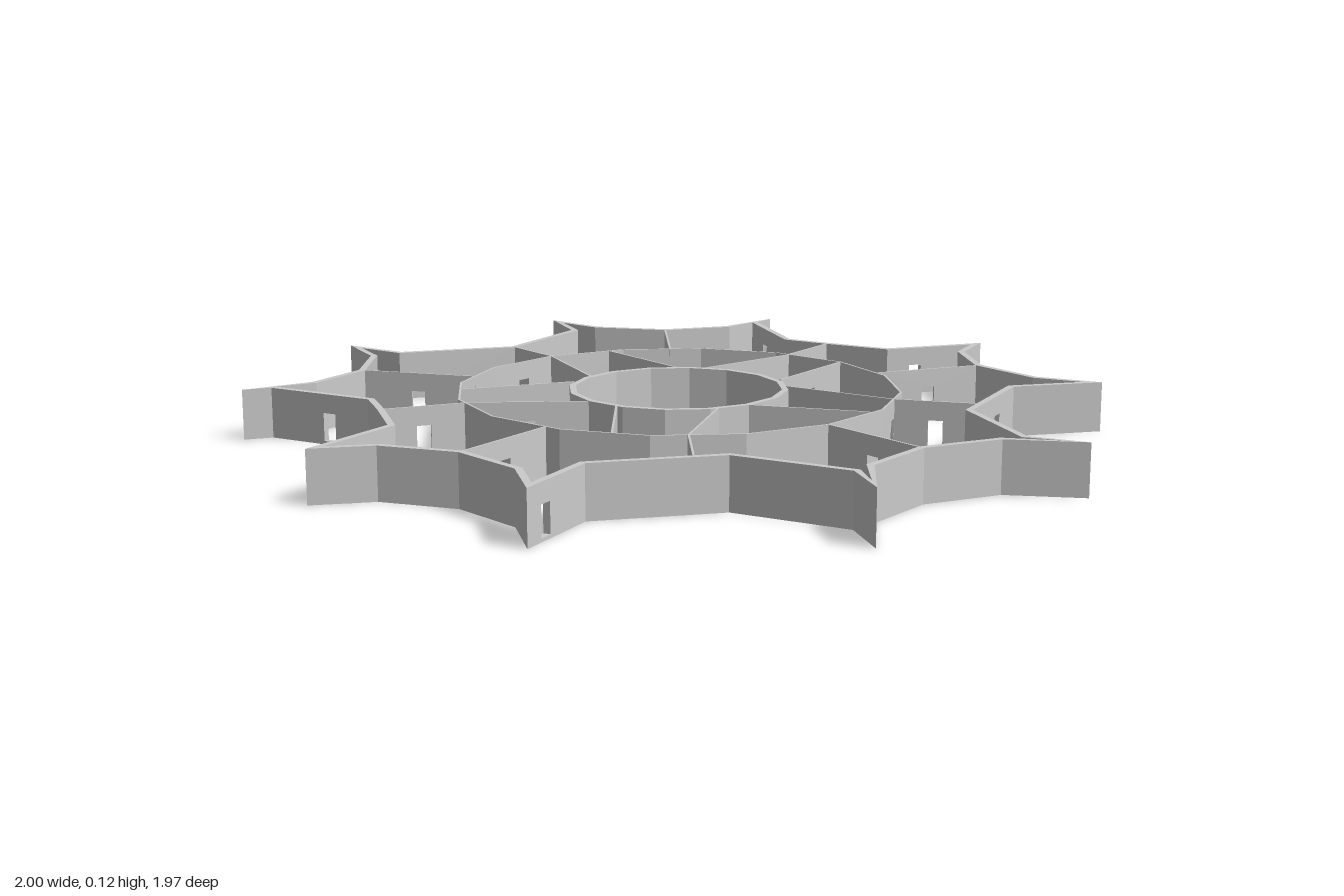
import * as THREE from 'three';

const HEIGHT = 0.12, DOOR_W = 0.034, DOOR_H = 0.075;
const material = new THREE.MeshStandardMaterial({ color: 0xcccccc, flatShading: true, side: THREE.DoubleSide });

const direction = (a, b) => new THREE.Vector2().subVectors(b, a).normalize();
const sideways = (u) => new THREE.Vector2(-u.y, u.x);

// Upright wall from a to b (plan points x, z). aIn and bIn are the mitred corners of its other face.
// door is the position along the wall (0..1); sill 0 leaves the doorway open to the floor.
function wall(name, a, b, aIn, bIn, thickness, door, sill = 0) {
  const length = a.distanceTo(b);
  const shape = new THREE.Shape();
  shape.moveTo(0, 0);
  const half = Math.min(DOOR_W / 2, length * 0.3);
  if (door !== undefined) {
    const s = THREE.MathUtils.clamp(door * length, half + 0.006, length - half - 0.006);
    const corners = [[s - half, sill], [s - half, DOOR_H], [s + half, DOOR_H], [s + half, sill]];
    if (sill > 0) {
      shape.holes.push(new THREE.Path(corners.map(([x, y]) => new THREE.Vector2(x, y))));
    } else {
      corners.forEach(([x, y]) => shape.lineTo(x, y));
    }
  }
  shape.lineTo(length, 0);
  shape.lineTo(length, HEIGHT);
  shape.lineTo(0, HEIGHT);
  shape.closePath();

  const geometry = new THREE.ExtrudeGeometry(shape, { depth: thickness, bevelEnabled: false });
  const u = direction(a, b), n = sideways(u);
  const p = geometry.attributes.position;
  for (let i = 0; i < p.count; i++) {
    const s = p.getX(i), y = p.getY(i), d = p.getZ(i);
    const q = a.clone().addScaledVector(u, s).addScaledVector(n, d);
    if (d > thickness / 2 && s < 1e-5) q.copy(aIn);
    if (d > thickness / 2 && s > length - 1e-5) q.copy(bIn);
    p.setXYZ(i, q.x, y, q.y);
  }
  geometry.computeVertexNormals();
  const mesh = new THREE.Mesh(geometry, material);
  mesh.name = name;
  return mesh;
}

// Closed loop of mitred walls; points run clockwise seen from above, thickness grows inward
function wallLoop(name, points, thickness, doors, sill) {
  const group = new THREE.Group();
  group.name = name;
  const count = points.length;
  const inner = points.map((p, i) => {
    const n1 = sideways(direction(points[(i + count - 1) % count], p));
    const n2 = sideways(direction(p, points[(i + 1) % count]));
    const mitre = n1.clone().add(n2).multiplyScalar(thickness / (1 + n1.dot(n2)));
    return mitre.clampLength(0, 0.055).add(p);
  });
  points.forEach((p, i) => {
    const j = (i + 1) % count;
    group.add(wall(name + 'Wall', p, points[j], inner[i], inner[j], thickness, doors[i], sill));
  });
  return group;
}

// Thin straight partition centred on its line, with a doorway in the middle
function partition(name, [x1, z1, x2, z2]) {
  const t = 0.005;
  const a = new THREE.Vector2(x1, z1), b = new THREE.Vector2(x2, z2);
  const n = sideways(direction(a, b));
  a.addScaledVector(n, -t / 2);
  b.addScaledVector(n, -t / 2);
  return wall(name, a, b, a.clone().addScaledVector(n, t), b.clone().addScaledVector(n, t), t, 0.5);
}

function ringPoints(radius) {
  return Array.from({ length: 16 }, (_, k) => {
    const angle = (k / 16) * Math.PI * 2;
    return new THREE.Vector2(radius * Math.sin(angle), -0.008 - radius * Math.cos(angle));
  });
}

export function createModel() {
  const model = new THREE.Group();
  model.name = 'starFortress';

  // Ten-pointed outer wall: one half, then its mirror
  const half = [
    [0, -0.71], [0.27, -0.82], [0.325, -0.985], [0.36, -0.82], [0.48, -0.67],
    [0.645, -0.605], [0.82, -0.622], [0.755, -0.6], [0.645, -0.34], [0.685, -0.23],
    [0.75, -0.075], [1, 0.02], [0.87, 0.085], [0.77, 0.24], [0.76, 0.43],
    [0.83, 0.575], [0.625, 0.48], [0.355, 0.605], [0.25, 0.86], [0.308, 0.985],
    [0.185, 0.85], [0, 0.805],
  ];
  const mirrored = half.slice(1, -1).reverse().map(([x, z]) => [-x, z]);
  const outline = [...half, ...mirrored].map(([x, z]) => new THREE.Vector2(x, z));
  const outerDoors = { 7: 0.41, 10: 0.27, 16: 0.41, 26: 0.69, 34: 0.4, 40: 0.5 };
  model.add(wallLoop('outerStar', outline, 0.016, outerDoors, 0.008));

  // Two concentric sixteen-sided rings
  const middleDoors = { 2: 0.5, 5: 0.5, 6: 0.5, 11: 0.5, 13: 0.5, 15: 0.5 };
  model.add(wallLoop('middleRing', ringPoints(0.525), 0.005, middleDoors, 0));
  model.add(wallLoop('innerRing', ringPoints(0.26), 0.015, { 6: 0.5, 14: 0.5 }, 0));

  // Partitions between the star and the middle ring
  const spokes = new THREE.Group();
  spokes.name = 'outerPartitions';
  spokes.add(partition('outerPartition', [0, -0.7, 0, -0.53]));
  spokes.add(partition('outerPartition', [0, 0.515, 0, 0.795]));
  const sideSpokes = [
    [0.475, -0.665, 0.3, -0.42], [0.68, -0.228, 0.487, -0.17],
    [0.765, 0.238, 0.49, 0.15], [0.417, 0.567, 0.3, 0.405],
  ];
  for (const side of [1, -1]) {
    for (const [x1, z1, x2, z2] of sideSpokes) {
      spokes.add(partition('outerPartition', [side * x1, z1, side * x2, z2]));
    }
  }
  model.add(spokes);

  // Slanted partitions between the two rings
  const rooms = new THREE.Group();
  rooms.name = 'innerPartitions';
  [
    [0, -0.53, -0.08, -0.25], [0.16, -0.495, 0.155, -0.21], [0.487, -0.168, 0.2, -0.16],
    [0.52, -0.01, 0.25, 0.07], [0.3, 0.405, 0.21, 0.14], [0.16, 0.475, 0, 0.25],
    [-0.3, 0.405, -0.08, 0.235], [-0.417, 0.29, -0.245, 0.075], [-0.487, -0.17, -0.26, -0.01],
    [-0.417, -0.31, -0.15, -0.22],
  ].forEach((line) => rooms.add(partition('innerPartition', line)));
  model.add(rooms);

  return model;
}
